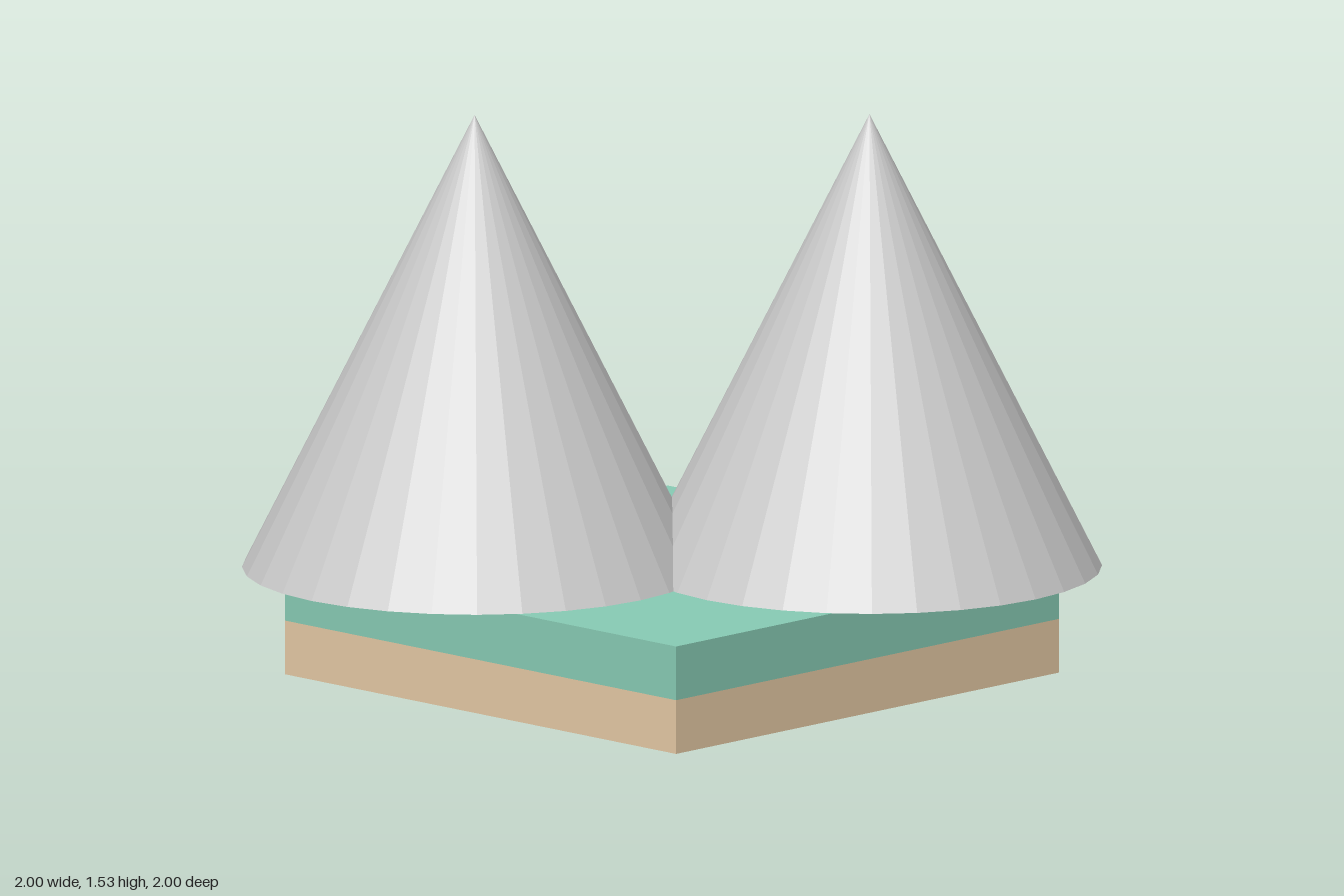
import * as THREE from 'three';

const GREEN = 0x88ccb5, TAN = 0xe5caa5, GREY = 0xcccccc;
const TOP = 0.295; // top of the ground slab

const material = (color, side = THREE.FrontSide) =>
  new THREE.MeshStandardMaterial({ color, side, flatShading: true });

function add(parent, name, geometry, mat, y) {
  const mesh = new THREE.Mesh(geometry, mat);
  mesh.name = name;
  mesh.position.y = y;
  parent.add(mesh);
}

export function createModel() {
  const model = new THREE.Group();
  const green = material(GREEN), tan = material(TAN);
  const grey = material(GREY, THREE.DoubleSide);

  // Two-layer square ground
  const side = 1.47, layer = TOP / 2;
  add(model, 'soilLayer', new THREE.BoxGeometry(side, layer, side), tan, layer / 2);
  add(model, 'grassLayer', new THREE.BoxGeometry(side, layer, side), green, layer * 1.5);

  // Two trees on opposite corners, each under an open cone
  for (const s of [-1, 1]) {
    const tree = new THREE.Group();
    tree.name = s < 0 ? 'backTree' : 'frontTree';
    tree.position.set(s * 0.375, TOP, s * 0.375);
    add(tree, 'trunk', new THREE.CylinderGeometry(0.08, 0.08, 0.25, 8), tan, 0.125);
    add(tree, 'foliage', new THREE.ConeGeometry(0.355, 0.62, 8), green, 0.25 + 0.31);
    add(tree, 'coneShell', new THREE.ConeGeometry(0.625, 1.24, 32, 1, true), grey, 0.62);
    model.add(tree);
  }
  return model;
}
